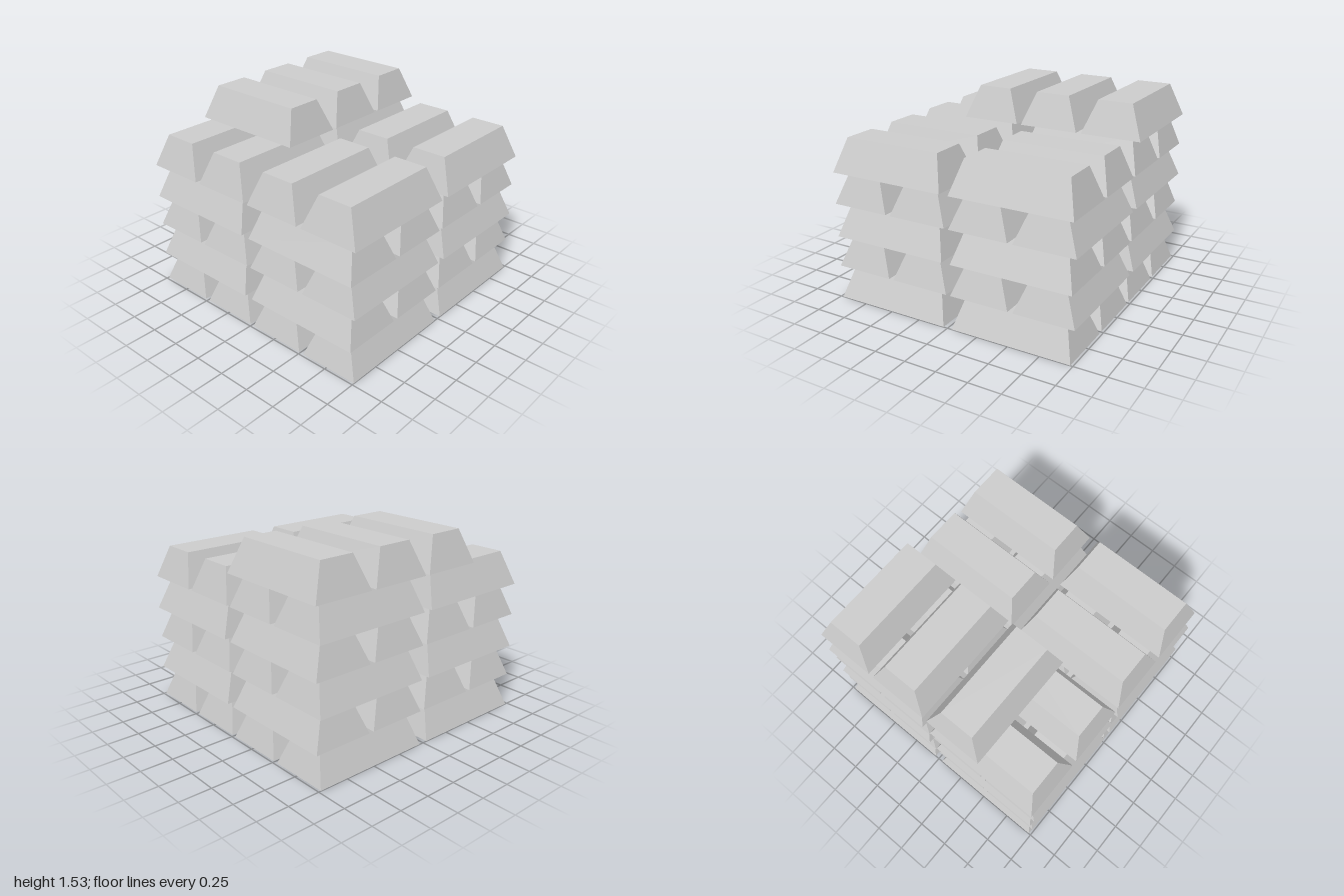
import * as THREE from 'three';

const LENGTH = 0.945, WIDTH = 0.47, HEIGHT = 0.2545;
const TOP_LENGTH = 0.795, TOP_WIDTH = 0.27;
const STACK = 0.508; // centre of each of the four stacks
const PAIR = 0.255;  // offset of a bar from its stack centre

// Ingot: a box along z, standing on y = 0, with its top face drawn in
function ingotGeometry() {
  const g = new THREE.BoxGeometry(WIDTH, HEIGHT, LENGTH);
  g.translate(0, HEIGHT / 2, 0);
  const p = g.attributes.position;
  for (let i = 0; i < p.count; i++) {
    if (p.getY(i) > HEIGHT / 2) {
      p.setX(i, Math.sign(p.getX(i)) * TOP_WIDTH / 2);
      p.setZ(i, Math.sign(p.getZ(i)) * TOP_LENGTH / 2);
    }
  }
  g.computeVertexNormals();
  return g;
}

export function createModel() {
  const model = new THREE.Group();
  model.name = 'ingotPile';
  const geometry = ingotGeometry();
  const material = new THREE.MeshStandardMaterial({ color: 0xcccccc, flatShading: true });

  // Four stacks; each layer is a pair of bars turned across the one below
  for (const sx of [-1, 1]) {
    for (const sz of [-1, 1]) {
      const stack = new THREE.Group();
      stack.name = (sz > 0 ? 'front' : 'back') + (sx > 0 ? 'Left' : 'Right') + 'Stack';
      stack.position.set(sx * STACK, 0, sz * STACK);
      const layers = sx < 0 ? 6 : 5; // the right stacks carry an extra layer
      for (let layer = 0; layer < layers; layer++) {
        const across = layer % 2 === 1;
        for (const side of [-1, 1]) {
          // The front right stack lacks the foremost bar of its top layer
          if (layer === 5 && sz > 0 && side > 0) continue;
          const bar = new THREE.Mesh(geometry, material);
          bar.name = 'ingot';
          bar.position.set(across ? 0 : side * PAIR, layer * HEIGHT, across ? side * PAIR : 0);
          if (across) bar.rotation.y = Math.PI / 2;
          stack.add(bar);
        }
      }
      model.add(stack);
    }
  }
  return model;
}
